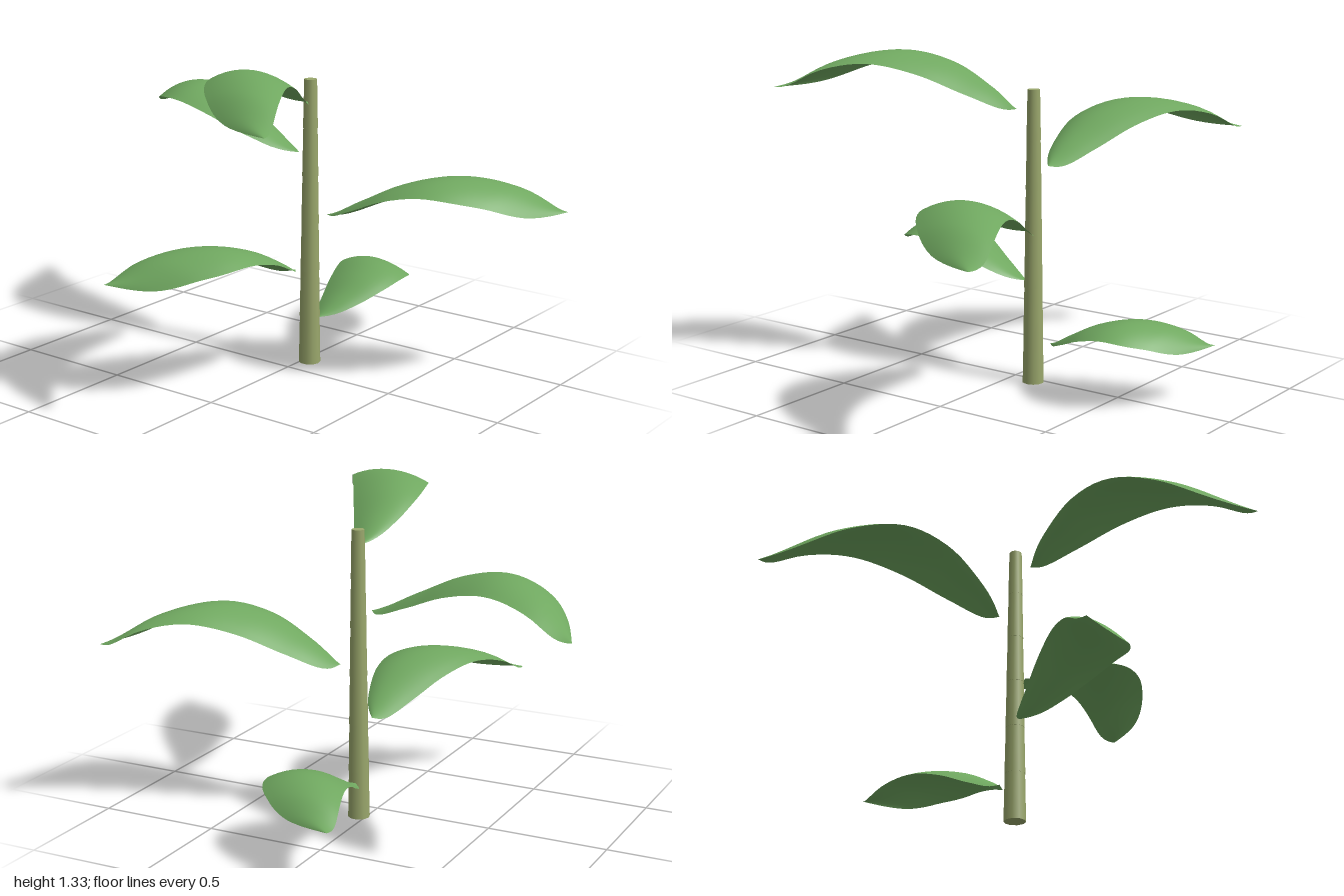
import * as THREE from 'three';

const leafGreen = new THREE.MeshStandardMaterial({ color: 0x70a860, side: THREE.DoubleSide });
leafGreen.name = 'leaf green';
const stemGreen = new THREE.MeshStandardMaterial({ color: 0x9aa76c });
stemGreen.name = 'stem green';

const spline = (pts) => new THREE.SplineCurve(pts.map(([x, y]) => new THREE.Vector2(x, y)));

// Leaf outline: x = fraction of the base-to-tip chord, y = distance from it
const outerEdge = spline([[0, 0], [0.09, 0.12], [0.28, 0.25], [0.5, 0.305], [0.68, 0.265], [0.84, 0.17], [1, 0]]);
const innerEdge = spline([[0, 0], [0.07, -0.9], [0.25, -1], [0.48, -1], [0.68, -1], [0.91, -0.95], [1, 0]]);
// Arch of the blade along its growing direction, as a fraction of its rise
const arch = spline([[0, 0], [0.2, 0.41], [0.4, 0.82], [0.6, 1], [0.8, 0.82], [1, 0.33]]);

// base and tip are [x, z]; axis is the growing direction; side is the bulging side
function makeLeaf({ base, tip, axis, y, rise, inner }, side) {
  const b = new THREE.Vector2(...base);
  const chord = new THREE.Vector2(...tip).sub(b);
  const length = chord.length();
  const e = chord.clone().normalize();
  const n = new THREE.Vector2(e.y, -e.x).multiplyScalar(side);
  const dir = new THREE.Vector2(...axis);
  const reach = chord.dot(dir);

  const geo = new THREE.PlaneGeometry(2, 2, 36, 12);
  const pos = geo.attributes.position;
  for (let i = 0; i < pos.count; i++) {
    const u = (pos.getX(i) + 1) / 2;
    const t = pos.getY(i) * side; // -1 inner edge, 1 outer edge
    const o = outerEdge.getPoint(u);
    const q = innerEdge.getPoint(u);
    q.y *= inner;
    const width = o.y - q.y;
    const p = q.lerp(o, (t + 1) / 2);
    const flat = e.clone().multiplyScalar(p.x * length).addScaledVector(n, p.y);
    const a = THREE.MathUtils.clamp(flat.dot(dir) / reach, 0, 1);
    const droop = 0.045 * t * t * (width / 0.33);
    pos.setXYZ(i, b.x + flat.x, y + rise * arch.getPoint(a).y - droop, b.y + flat.y);
  }
  geo.computeVertexNormals();
  return new THREE.Mesh(geo, leafGreen);
}

export function createModel() {
  const group = new THREE.Group();
  group.name = 'plant';

  // Stem of six tapering segments
  const stem = new THREE.Group();
  stem.name = 'stem';
  for (let i = 0; i < 6; i++) {
    const r = 0.045 - 0.003 * i;
    const seg = new THREE.Mesh(new THREE.CylinderGeometry(r - 0.004, r, 0.2, 10), stemGreen);
    seg.position.set(0.11, 0.1 + 0.2 * i, 0.03);
    seg.name = 'stemSegment' + (i + 1);
    stem.add(seg);
  }
  group.add(stem);

  // Leaves from lowest to highest, bulging to alternating sides
  const leaves = [
    { base: [0.18, 0.01], tip: [0.82, -0.2], axis: [1, 0], y: 0.17, rise: 0.16, inner: 0.025 },
    { base: [0.05, 0], tip: [-0.72, -0.35], axis: [-1, 0], y: 0.41, rise: 0.19, inner: 0.03 },
    { base: [0.13, 0.1], tip: [0.52, 0.99], axis: [0, 1], y: 0.645, rise: 0.215, inner: 0.048 },
    { base: [0.13, -0.04], tip: [0.48, -1], axis: [0, -1], y: 0.885, rise: 0.215, inner: 0.03 },
    { base: [0.05, 0.06], tip: [-0.82, 0.52], axis: [-1, 0], y: 1.12, rise: 0.21, inner: 0.014 },
  ];
  leaves.forEach((spec, i) => {
    const leaf = makeLeaf(spec, i % 2 ? 1 : -1);
    leaf.name = 'leaf' + (i + 1);
    group.add(leaf);
  });
  return group;
}
